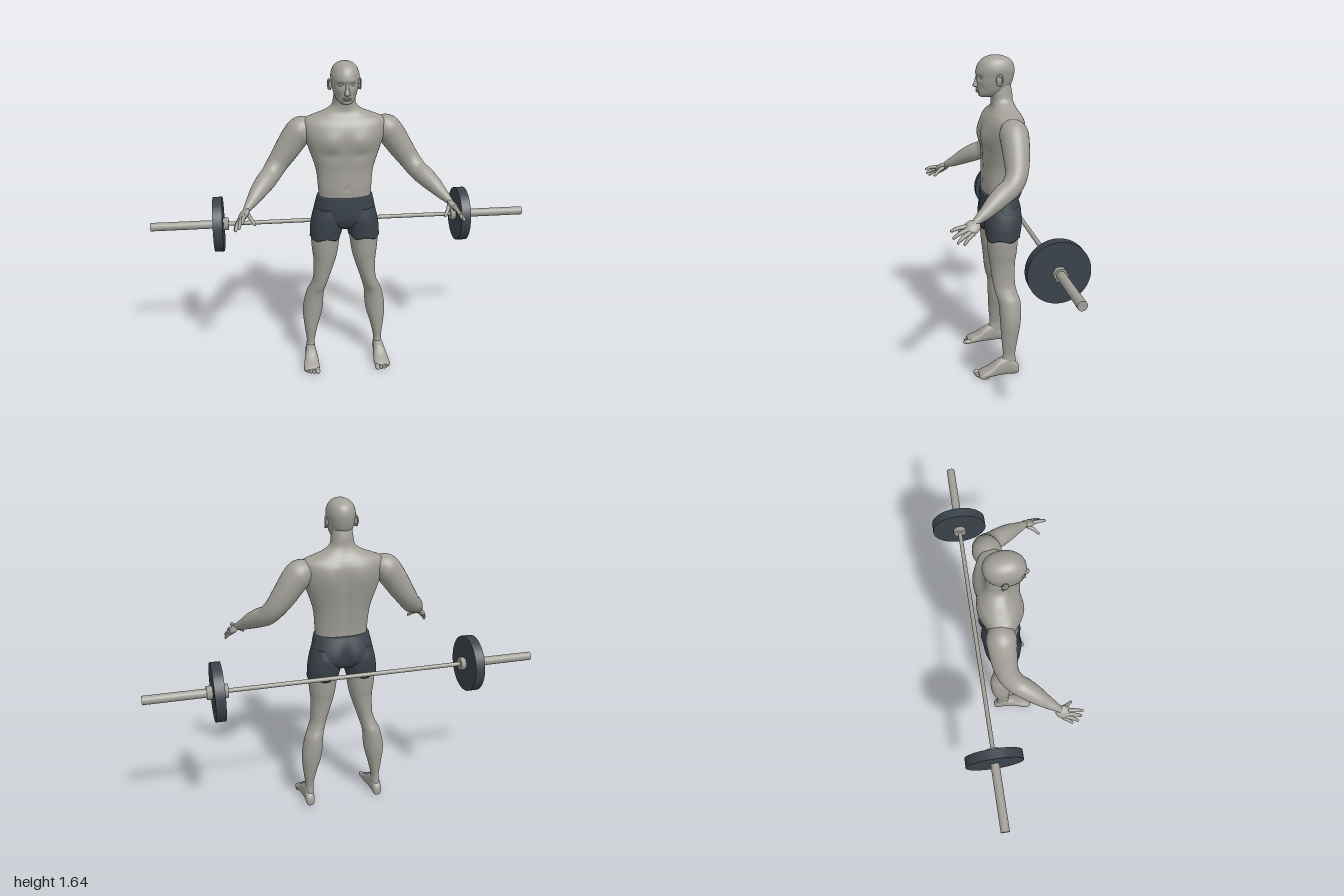
import * as THREE from 'three';

const grey = new THREE.MeshStandardMaterial({ color: 0xa19f97 });
grey.name = 'warm grey';
const charcoal = new THREE.MeshStandardMaterial({ color: 0x3a424a });
charcoal.name = 'charcoal';

const bump = (d, w) => Math.exp(-((d / w) ** 2));

// Smoothly resample rows of numbers, column by column
function resample(rows, steps) {
  const out = [], last = rows.length - 1;
  const at = (i) => rows[Math.max(0, Math.min(last, i))];
  for (let k = 0; k <= last * steps; k++) {
    const i = Math.min(last - 1, Math.floor(k / steps)), t = k / steps - i;
    out.push(rows[0].map((_, c) => {
      const [a, b, d, e] = [at(i - 1)[c], at(i)[c], at(i + 1)[c], at(i + 2)[c]];
      return b + 0.5 * t * (d - a + t * (2 * a - 5 * b + 4 * d - e + t * (3 * (b - d) + e - a)));
    }));
  }
  return out;
}

// Closed skin over a list of rings of points
function skin(name, rings, material) {
  const n = rings[0].length, pos = [], idx = [];
  rings.forEach((r) => r.forEach((p) => pos.push(p.x, p.y, p.z)));
  for (let j = 0; j < rings.length - 1; j++) {
    for (let i = 0; i < n; i++) {
      const a = j * n + i, b = j * n + ((i + 1) % n);
      idx.push(a, a + n, b, b, a + n, b + n);
    }
  }
  [0, rings.length - 1].forEach((j) => {
    const c = new THREE.Vector3();
    rings[j].forEach((p) => c.addScaledVector(p, 1 / n));
    const m = pos.push(c.x, c.y, c.z) / 3 - 1;
    for (let i = 0; i < n; i++) {
      const a = j * n + i, b = j * n + ((i + 1) % n);
      if (j) idx.push(m, b, a); else idx.push(m, a, b);
    }
  });
  const g = new THREE.BufferGeometry();
  g.setAttribute('position', new THREE.Float32BufferAttribute(pos, 3));
  g.setIndex(idx);
  g.computeVertexNormals();
  return named(name, g, material);
}

function named(name, geometry, material = grey) {
  const m = new THREE.Mesh(geometry, material);
  m.name = name;
  return m;
}

// Upright form; rows are [y, x0, x1, z0, z1], going up; n is the squareness
function loft(name, rows, { n = 2, segs = 48, steps = 6, rule, material = grey } = {}) {
  const pw = (v) => Math.sign(v) * Math.abs(v) ** (2 / n);
  const rings = resample(rows, steps).map(([y, x0, x1, z0, z1]) =>
    Array.from({ length: segs }, (_, i) => {
      const a = (i / segs) * Math.PI * 2, c = pw(Math.cos(a)), s = pw(Math.sin(a));
      const p = new THREE.Vector3((x0 + x1) / 2 + (c * (x1 - x0)) / 2, y, (z0 + z1) / 2 + (s * (z1 - z0)) / 2);
      if (rule) rule(p, s, a);
      return p;
    }));
  return skin(name, rings, material);
}
const even = (rows) => rows.map(([y, w, z0, z1]) => [y, -w, w, z0, z1]);

// Limb along a path with a rounded tip; rows are [x, y, z, radius]
function limb(name, rows, segs = 28, steps = 6) {
  const pts = resample(rows, steps), last = pts.length - 1;
  const v = (i) => new THREE.Vector3(...pts[Math.max(0, Math.min(last, i))].slice(0, 3));
  const ref = new THREE.Vector3(1, 0.6, -0.2);
  const rings = pts.map((row, k) => {
    const t = v(k + 1).sub(v(k - 1)).normalize();
    const N = ref.clone().addScaledVector(t, -ref.dot(t)).normalize(), B = t.clone().cross(N);
    const e = Math.max(0, (k / last - 0.8) / 0.2), r = row[3] * Math.sqrt(Math.max(0.02, 1 - e * e));
    return Array.from({ length: segs }, (_, i) => {
      const a = (i / segs) * Math.PI * 2;
      return v(k).addScaledVector(N, r * Math.cos(a)).addScaledVector(B, -r * Math.sin(a));
    });
  });
  return skin(name, rings, grey);
}

function blob(name, [x, y, z], [rx, ry, rz]) {
  return named(name, new THREE.SphereGeometry(1, 24, 16).scale(rx, ry, rz).translate(x, y, z));
}

// Copy of a left-hand mesh for the right side
function mirrored(mesh) {
  const g = mesh.geometry.clone().scale(-1, 1, 1), ix = g.index.array;
  for (let i = 0; i < ix.length; i += 3) [ix[i], ix[i + 1]] = [ix[i + 1], ix[i]];
  g.computeVertexNormals();
  return named(mesh.name.replace('left', 'right'), g, mesh.material);
}

function makeHead() {
  const head = new THREE.Group();
  head.name = 'head';
  head.add(loft('skull', even([
    [1.436, 0.016, 0.02, 0.064], [1.445, 0.034, -0.03, 0.076], [1.465, 0.048, -0.062, 0.083],
    [1.5, 0.06, -0.086, 0.085], [1.54, 0.067, -0.098, 0.087], [1.57, 0.069, -0.1, 0.087],
    [1.6, 0.061, -0.091, 0.074], [1.62, 0.046, -0.07, 0.053], [1.632, 0.024, -0.04, 0.027],
    [1.636, 0.003, -0.01, 0.004]]), {
    n: 2.15, segs: 64, steps: 8, rule: (p, s) => {
      if (s < 0.2) return;
      const x = Math.abs(p.x);
      p.z -= 0.011 * bump(x - 0.028, 0.014) * bump(p.y - 1.533, 0.012);
      p.z += 0.004 * bump(x - 0.026, 0.024) * bump(p.y - 1.552, 0.009);
      p.z -= 0.006 * bump(x - 0.038, 0.014) * bump(p.y - 1.478, 0.018);
      p.z -= 0.005 * bump(p.x, 0.02) * bump(p.y - 1.456, 0.006);
    },
  }));
  head.add(loft('nose', even([[1.482, 0.007, 0.07, 0.088], [1.487, 0.014, 0.07, 0.1],
    [1.495, 0.013, 0.07, 0.104], [1.515, 0.008, 0.07, 0.096], [1.545, 0.006, 0.07, 0.087]]), { segs: 20 }));
  head.add(blob('upperLip', [0, 1.471, 0.081], [0.022, 0.0045, 0.009]));
  head.add(blob('lowerLip', [0, 1.463, 0.08], [0.018, 0.005, 0.009]));
  const eye = blob('leftEye', [0.027, 1.532, 0.066], [0.012, 0.007, 0.008]);
  const ear = blob('leftEar', [0.07, 1.522, -0.012], [0.008, 0.026, 0.015]);
  const rim = named('leftEarRim', new THREE.TorusGeometry(0.014, 0.004, 8, 24)
    .scale(1, 1.6, 1).rotateY(Math.PI / 2 - 0.35).translate(0.076, 1.524, -0.014));
  [eye, ear, rim].forEach((m) => head.add(m, mirrored(m)));
  return head;
}

// Every part of the body's left side
function leftParts() {
  const parts = [];
  parts.push(limb('leftArm', [[0.15, 1.31, -0.05, 0.04], [0.205, 1.298, -0.052, 0.067], [0.24, 1.265, -0.053, 0.068],
    [0.292, 1.19, -0.05, 0.061], [0.335, 1.13, -0.04, 0.053], [0.37, 1.085, -0.01, 0.049], [0.4, 1.06, 0.035, 0.048],
    [0.435, 1.03, 0.085, 0.041], [0.465, 1.0, 0.13, 0.03], [0.487, 0.98, 0.165, 0.024], [0.51, 0.957, 0.2, 0.022]]));

  // Hand: flattened palm, four fingers and a thumb
  const across = new THREE.Vector3(-0.035, 0.03, 0.03).normalize();
  const ahead = new THREE.Vector3(0.025, -0.032, 0.05);
  const flat = ahead.clone().cross(across).normalize();
  ahead.crossVectors(across, flat);
  const palm = new THREE.SphereGeometry(1, 24, 16).scale(0.034, 0.016, 0.042)
    .applyMatrix4(new THREE.Matrix4().makeBasis(across, flat, ahead).setPosition(0.51, 0.953, 0.199));
  parts.push(named('leftPalm', palm));
  [[0.53, 0.932, 0.195, 0.555, 0.887, 0.242], [0.527, 0.938, 0.208, 0.552, 0.896, 0.272],
    [0.518, 0.947, 0.218, 0.533, 0.914, 0.289], [0.505, 0.958, 0.222, 0.516, 0.943, 0.297],
    [0.492, 0.957, 0.192, 0.456, 0.915, 0.252]].forEach(([x, y, z, u, v, w], i) => {
    parts.push(limb(i < 4 ? 'leftFinger' : 'leftThumb', [[x, y, z, 0.0105],
      [(x + u) / 2 + 0.002, (y + v) / 2 + 0.004, (z + w) / 2 + 0.003, 0.009], [u, v, w, 0.0065]], 12));
  });

  parts.push(loft('leftLeg', [[0.03, 0.167, 0.208, -0.083, -0.01], [0.08, 0.163, 0.21, -0.08, -0.005],
    [0.12, 0.163, 0.207, -0.077, -0.012], [0.2, 0.145, 0.217, -0.09, -0.005], [0.3, 0.118, 0.224, -0.107, 0],
    [0.4, 0.11, 0.205, -0.108, 0.006], [0.45, 0.098, 0.183, -0.093, 0.02], [0.5, 0.083, 0.167, -0.085, 0.03],
    [0.6, 0.05, 0.164, -0.088, 0.042], [0.66, 0.036, 0.17, -0.097, 0.05], [0.735, 0.026, 0.175, -0.103, 0.054],
    [0.8, 0.022, 0.168, -0.105, 0.054]]));

  // Foot: lofted upright, then laid forward, so its rows run from heel to ball
  const foot = loft('leftFoot', [[-0.097, 0.178, 0.2, -0.04, -0.012], [-0.085, 0.167, 0.212, -0.065, 0],
    [-0.04, 0.162, 0.214, -0.1, 0], [0.01, 0.156, 0.22, -0.09, 0], [0.06, 0.15, 0.23, -0.054, 0],
    [0.1, 0.15, 0.234, -0.033, 0], [0.118, 0.158, 0.226, -0.022, -0.004]], { n: 2.4, segs: 32 });
  foot.geometry.rotateX(Math.PI / 2);
  parts.push(foot);
  [0.162, 0.182, 0.198, 0.212, 0.225].forEach((x, i) => {
    const r = i ? 0.009 : 0.013;
    parts.push(blob('leftToe', [x, r, 0.118 - i * i * 0.0018], [r, r, i ? 0.024 : 0.027]));
  });

  // Shorts leg with an uneven hem
  parts.push(loft('leftShortsLeg', [[0.738, 0.022, 0.181, -0.111, 0.06], [0.77, 0.014, 0.179, -0.117, 0.063],
    [0.8, 0.008, 0.177, -0.122, 0.066], [0.85, 0.002, 0.168, -0.124, 0.067], [0.9, 0.004, 0.154, -0.11, 0.06]], {
    n: 2.2, material: charcoal,
    rule: (p, s, a) => { p.y += 0.006 * Math.sin(a * 5) * bump(p.y - 0.738, 0.015); },
  }));
  return parts;
}

function makeBody() {
  const body = new THREE.Group();
  body.name = 'body';
  // Torso, with chest, shoulder blades, and grooves down the middle
  body.add(loft('torso', even([[0.92, 0.13, -0.09, 0.058], [1.0, 0.135, -0.095, 0.064], [1.1, 0.145, -0.11, 0.062],
    [1.2, 0.177, -0.13, 0.068], [1.27, 0.2, -0.138, 0.069], [1.32, 0.208, -0.137, 0.058],
    [1.352, 0.198, -0.126, 0.04], [1.373, 0.15, -0.113, 0.024], [1.393, 0.098, -0.102, 0.015],
    [1.42, 0.062, -0.093, 0.014], [1.46, 0.053, -0.089, 0.02], [1.5, 0.048, -0.08, 0.02]]), {
    n: 2.25, segs: 72, steps: 8, rule: (p, s) => {
      const x = Math.abs(p.x), mid = bump(p.x, 0.018);
      if (s > 0.1) {
        p.z += 0.011 * bump(x - 0.08, 0.055) * bump(p.y - 1.25, 0.045);
        p.z -= 0.006 * bump(x - 0.07, 0.06) * bump(p.y - 1.185, 0.02);
        p.z -= 0.006 * mid * bump(p.y - 1.16, 0.14);
        p.z -= 0.008 * bump(p.x, 0.01) * bump(p.y - 1.015, 0.008);
      } else if (s < -0.1) {
        p.z += 0.014 * mid * bump(p.y - 1.17, 0.17);
        p.z -= 0.008 * bump(x - 0.09, 0.045) * bump(p.y - 1.28, 0.06);
      }
    },
  }));
  // Seat of the shorts, parted at the back
  body.add(loft('shorts', even([[0.785, 0.03, -0.07, 0.02], [0.8, 0.075, -0.105, 0.045], [0.83, 0.15, -0.128, 0.062],
    [0.86, 0.163, -0.134, 0.069], [0.9, 0.156, -0.127, 0.071], [0.965, 0.141, -0.106, 0.07]]), {
    n: 2.3, segs: 64, material: charcoal, rule: (p, s) => {
      if (s < -0.1) p.z += 0.022 * bump(p.x, 0.02) * bump(p.y - 0.85, 0.05);
    },
  }));
  leftParts().forEach((m) => body.add(m, mirrored(m)));
  body.add(makeHead());
  return body;
}

function makeBarbell() {
  const bar = new THREE.Group();
  bar.name = 'barbell';
  const rod = (name, x0, x1, r, sides, material) => bar.add(named(name,
    new THREE.CylinderGeometry(r, r, x1 - x0, sides).rotateZ(-Math.PI / 2).translate((x0 + x1) / 2, 0, 0), material));
  rod('shaft', -0.62, 0.62, 0.011, 20);
  rod('leftSleeve', 0.61, 1, 0.022, 20);
  rod('rightSleeve', -1, -0.61, 0.022, 20);
  rod('leftPlate', 0.625, 0.674, 0.144, 64, charcoal);
  rod('rightPlate', -0.674, -0.625, 0.144, 64, charcoal);
  rod('leftInnerCollar', 0.598, 0.626, 0.034, 6);
  rod('rightInnerCollar', -0.626, -0.598, 0.034, 6);
  rod('leftOuterCollar', 0.673, 0.702, 0.034, 6);
  bar.position.set(0, 0.775, -0.157);
  return bar;
}

export function createModel() {
  const model = new THREE.Group();
  model.name = 'weightlifter';
  model.add(makeBody(), makeBarbell());
  return model;
}
